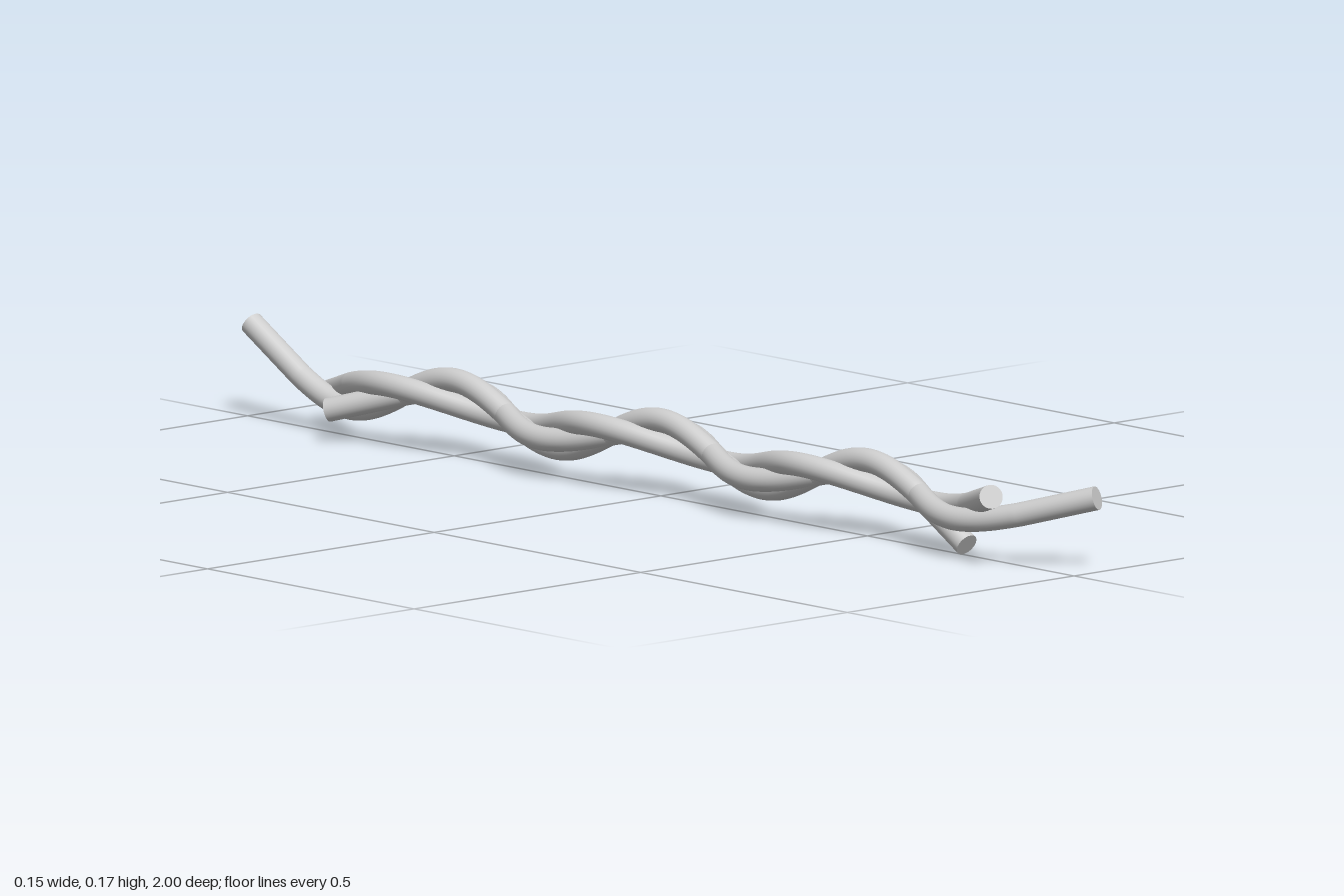
import * as THREE from 'three';

const RADIUS = 0.0197;
const WAVE = 0.0395;      // wave height
const HALF = 0.865;       // half length of a strand
const TAIL = 0.745;       // where the straight tails begin
const TIP = 0.069;        // offset of the strand tips

// Planar wave along z with straight, splayed tails
class StrandCurve extends THREE.Curve {
  getPoint(t, target = new THREE.Vector3()) {
    const z = (t * 2 - 1) * HALF;
    const a = Math.abs(z);
    const wave = (s) => WAVE * Math.sin(4 * Math.PI * s);
    let y = wave(Math.min(a, TAIL));
    if (a > TAIL) y += (-TIP - y) * (a - TAIL) / (HALF - TAIL);
    return target.set(0, Math.sign(z) * y, z);
  }
}

export function createModel() {
  const model = new THREE.Group();
  model.name = 'braidedStrands';
  const material = new THREE.MeshStandardMaterial({ color: 0xcccccc });

  const curve = new StrandCurve();
  const tube = new THREE.TubeGeometry(curve, 200, RADIUS, 24, false);
  const disc = new THREE.CircleGeometry(RADIUS, 24);
  const forward = new THREE.Vector3(0, 0, 1);

  // Three equal strands, each turned a third and shifted a quarter wave
  for (let i = 0; i < 3; i++) {
    const strand = new THREE.Group();
    strand.name = ['verticalStrand', 'middleStrand', 'frontStrand'][i];
    strand.rotation.z = -i * Math.PI * 2 / 3;
    strand.position.set(0, 0.0875, (i - 1) * 0.125);

    const body = new THREE.Mesh(tube, material);
    body.name = 'strandBody';
    strand.add(body);

    // Flat cut ends
    for (const t of [0, 1]) {
      const cap = new THREE.Mesh(disc, material);
      cap.name = t ? 'frontCap' : 'backCap';
      const outward = curve.getTangentAt(t).multiplyScalar(t ? 1 : -1);
      cap.quaternion.setFromUnitVectors(forward, outward);
      cap.position.copy(curve.getPoint(t));
      strand.add(cap);
    }
    model.add(strand);
  }
  return model;
}
